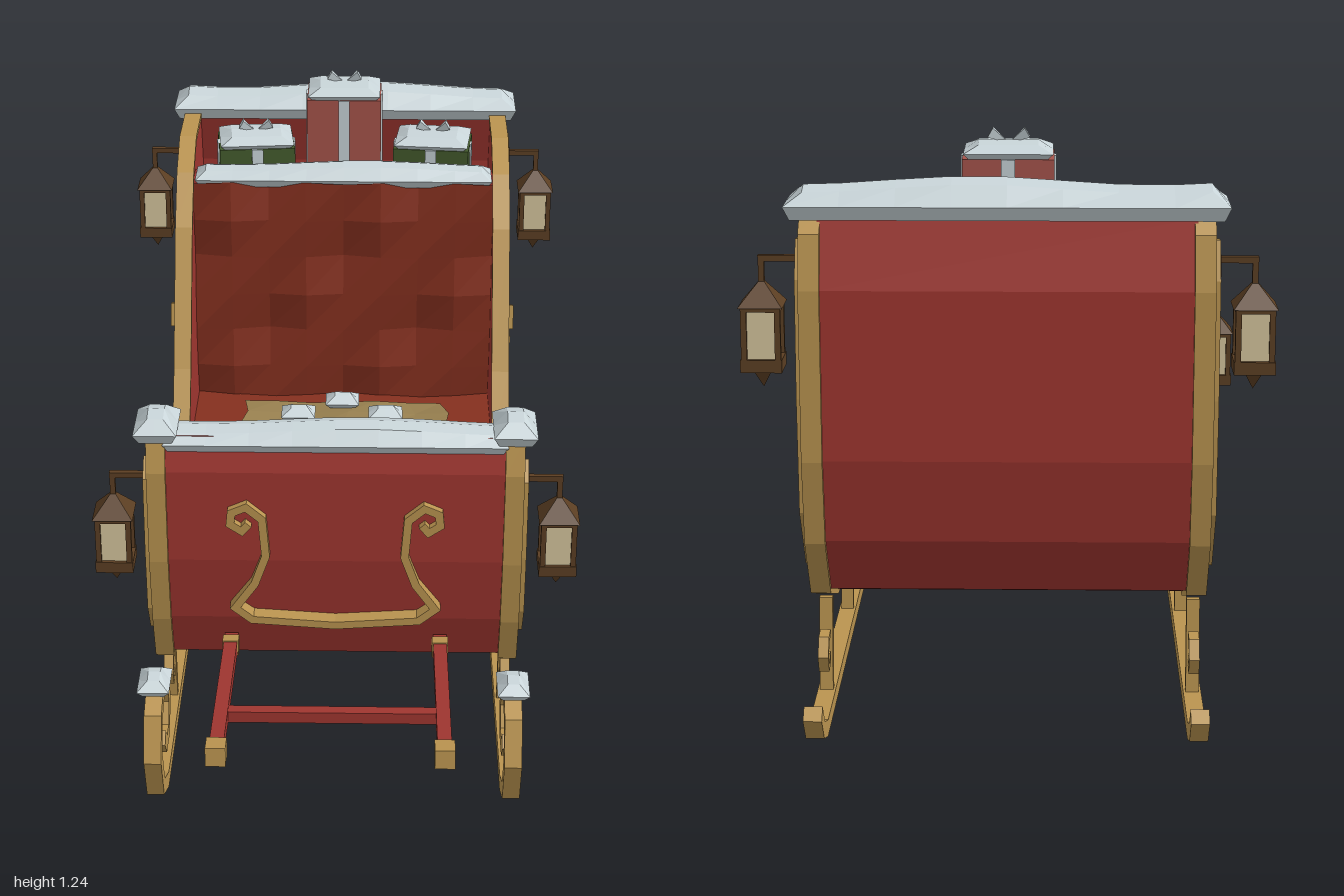
import * as THREE from 'three';

const paint = (name, color) => Object.assign(new THREE.MeshStandardMaterial({ color }), { name });

// Side outline as [z, y], anticlockwise from the front top
const outline = [[0.46, 0.8], [0.36, 0.8], [0.33, 0.74], [0.3, 0.62], [0.24, 0.49], [0.16, 0.445], [-0.07, 0.445],
  [-0.155, 0.5], [-0.24, 0.63], [-0.4, 0.94], [-0.49, 1.05], [-0.6, 1.105], [-0.84, 1.105], [-0.89, 1.06], [-0.912, 0.95],
  [-0.912, 0.6], [-0.88, 0.42], [-0.78, 0.28], [-0.61, 0.22], [0.42, 0.22], [0.46, 0.34], [0.482, 0.5], [0.482, 0.72]];

// Moves a path sideways (to its left for d > 0) with mitred corners
function offset(pts, d, closed = false) {
  const n = pts.length;
  const normal = (a, b) => {
    const dx = b[0] - a[0], dy = b[1] - a[1], l = Math.hypot(dx, dy);
    return [-dy / l, dx / l];
  };
  return pts.map((p, i) => {
    const before = closed || i > 0 ? normal(pts[(i + n - 1) % n], p) : null;
    const after = closed || i < n - 1 ? normal(p, pts[(i + 1) % n]) : null;
    const a = before || after, b = after || before;
    const k = d / Math.max(0.4, 1 + a[0] * b[0] + a[1] * b[1]);
    return [p[0] + (a[0] + b[0]) * k, p[1] + (a[1] + b[1]) * k];
  });
}

const toShape = pts => new THREE.Shape(pts.map(p => new THREE.Vector2(...p)));
const ribbon = (path, w) => toShape([...offset(path, w / 2), ...offset(path, -w / 2).reverse()]);
const extrude = (shape, depth) => new THREE.ExtrudeGeometry(shape, { depth, bevelEnabled: false });
// Extrudes a [z, y] shape across x, centred on x
const across = (shape, x, w) => extrude(shape, w).translate(0, 0, -w / 2).rotateY(-Math.PI / 2).translate(x, 0, 0);

function flat(geo) {
  const g = geo.index ? geo.toNonIndexed() : geo;
  g.computeVertexNormals();
  return g;
}

function moveVertices(geo, rule) {
  const p = geo.attributes.position, v = new THREE.Vector3();
  for (let i = 0; i < p.count; i++) {
    rule(v.fromBufferAttribute(p, i));
    p.setXYZ(i, v.x, v.y, v.z);
  }
  return flat(geo);
}

// Snow drift standing on y = 0: bulging rim, narrower uneven top
function snowGeo(w, h, d, nx = 2, inset = 0.03) {
  return moveVertices(new THREE.BoxGeometry(w, h, d, nx, 2, 2), v => {
    const level = Math.round(v.y / h * 2);
    const cut = level > 0 ? inset : level < 0 ? 0.012 : 0;
    const ridge = level > 0 && Math.abs(v.z) < 0.001;
    if (Math.abs(v.x) > w / 2 - 0.001) v.x -= Math.sign(v.x) * cut;
    v.z *= 1 - 2 * cut / d;
    v.y = level < 0 ? 0 : level === 0 ? h * 0.4 : h * (ridge ? 1 : 0.85);
    if (nx > 2 && level > 0) v.y += h * 0.12 * Math.sin(v.x * 9 + 1);
  });
}

const pyramid = (w, h) => flat(new THREE.ConeGeometry(w / Math.SQRT2, h, 4).rotateY(Math.PI / 4));
const box = (w, h, d) => new THREE.BoxGeometry(w, h, d);

export function createModel() {
  const red = paint('body red', 0xa03630), gold = paint('gold trim', 0xba9450), snow = paint('snow', 0xc8d4d8);
  const wood = paint('lantern brown', 0x5c3f23), glass = paint('lantern cream', 0xd6c69e);
  const green = paint('gift green', 0x435a2c), giftRed = paint('gift red', 0xa6544b);
  const cushion = paint('cushion red', 0x85301f), cloth = paint('blanket tan', 0x98804f);
  cloth.side = THREE.DoubleSide;

  const model = new THREE.Group();
  const add = (name, geo, mat, x = 0, y = 0, z = 0, parent = model) => {
    const m = new THREE.Mesh(geo, mat);
    m.name = name;
    m.position.set(x, y, z);
    parent.add(m);
    return m;
  };

  // Front, floor and back as one bent sheet
  const hull = offset([...outline.slice(13), outline[0]], 0.01);
  hull[0] = [-0.865, 1.09];
  add('bodyShell', across(toShape([...hull, ...offset(hull, 0.03).reverse()]), 0, 0.75), red);

  const sideLine = [[0.37, 0.655], [0.36, 0.69], [0.4, 0.712], [0.433, 0.68], [0.44, 0.5], [0.433, 0.36], [0.39, 0.29],
    [0.2, 0.275], [-0.18, 0.262], [-0.58, 0.29], [-0.75, 0.345], [-0.845, 0.48], [-0.86, 0.72], [-0.85, 0.96],
    [-0.82, 1.03], [-0.78, 1.025], [-0.765, 0.985]];
  const sideScroll = [[-0.374, 0.695], [-0.34, 0.71], [-0.35, 0.75], [-0.39, 0.735], [-0.42, 0.69], [-0.47, 0.68],
    [-0.49, 0.65], [-0.465, 0.615], [-0.43, 0.63]];
  const sideCurl = [[0.325, 0.405], [0.295, 0.39], [0.268, 0.42], [0.275, 0.465], [0.3, 0.475], [0.312, 0.45]];
  const runner = [[-0.985, 0.095], [-0.94, 0.042], [-0.87, 0.018], [0.62, 0.018], [0.715, 0.065], [0.75, 0.16],
    [0.715, 0.245], [0.635, 0.28], [0.56, 0.25], [0.535, 0.18], [0.57, 0.12], [0.63, 0.12], [0.66, 0.155]];

  for (const s of [-1, 1]) {
    // Side wall with its gold edge and applied scrolls
    add('sidePanel', across(toShape(offset(outline, 0.01, true)), s * 0.388, 0.026), red);
    const rim = toShape(outline);
    rim.holes.push(toShape(offset(outline, 0.014, true)));
    add('sideRim', across(rim, s * 0.39, 0.042), gold);
    for (const [name, path] of [['sideLine', sideLine], ['sideScroll', sideScroll], ['sideCurl', sideCurl]])
      add(name, across(ribbon(path, 0.017), s * 0.41, 0.026), gold);

    // Runner, struts and their little curls
    add('runner', across(ribbon(runner, 0.034), s * 0.39, 0.038), gold);
    for (const [z, dir] of [[0.29, 1], [-0.18, 1], [-0.69, dirBack]]) {
      add('strut', across(ribbon([[z, 0.025], [z + 0.02, 0.235]], 0.022), s * 0.39, 0.028), gold);
      const curl = [[0.01, 0.165], [0.045, 0.162], [0.066, 0.13], [0.05, 0.1], [0.025, 0.105], [0.025, 0.125]];
      const path = curl.map(([a, b]) => [z + dir * a, b]);
      add('strutCurl', across(ribbon(path, 0.013), s * 0.39, 0.022), gold);
    }
    add('runnerSnow', snowGeo(0.07, 0.04, 0.1, 2, 0.022), snow, s * 0.39, 0.288, 0.66);
    add('postSnow', snowGeo(0.095, 0.058, 0.135), snow, s * 0.39, 0.785, 0.41);

    // Pulling shaft
    add('shaft', across(ribbon([[0.44, 0.278], [0.97, 0.335]], 0.03), s * 0.235, 0.03), red);
    add('shaftTip', across(ribbon([[0.95, 0.333], [0.998, 0.338]], 0.042), s * 0.235, 0.042), gold);
    add('shaftSocket', across(ribbon([[0.455, 0.279], [0.49, 0.283]], 0.036), s * 0.235, 0.036), gold);

    // Lanterns on brackets
    for (const [y, z] of [[0, 0.39], [0.325, -0.8]]) {
      const lantern = new THREE.Group();
      lantern.name = 'lantern';
      lantern.position.set(s * 0.495, y, z);
      model.add(lantern);
      const part = (name, geo, mat, px, py, pz = 0) => add(name, geo, mat, px, py, pz, lantern);
      part('bracketArm', box(0.095, 0.013, 0.013), wood, -s * 0.041, 0.67);
      part('bracketHook', box(0.012, 0.06, 0.012), wood, 0, 0.645);
      part('bracketPlate', box(0.012, 0.05, 0.025), wood, -s * 0.075, 0.655);
      part('lanternRoof', pyramid(0.09, 0.055), wood, 0, 0.6025);
      part('lanternCollar', box(0.08, 0.014, 0.08), wood, 0, 0.573);
      part('lanternGlass', box(0.066, 0.11, 0.066), glass, 0, 0.52);
      part('lanternBase', box(0.084, 0.026, 0.084), wood, 0, 0.455);
      part('lanternTip', pyramid(0.04, 0.04).rotateX(Math.PI), wood, 0, 0.424);
      for (const px of [-0.034, 0.034]) for (const pz of [-0.034, 0.034])
        part('lanternPost', box(0.012, 0.115, 0.012), wood, px, 0.52, pz);
    }
  }
  add('shaftCrossbar', box(0.47, 0.026, 0.026), red, 0, 0.317, 0.805);

  // Scroll on the front panel
  const half = [[0.19, 0.6], [0.205, 0.583], [0.23, 0.6], [0.227, 0.628], [0.195, 0.642], [0.16, 0.612], [0.153, 0.52],
    [0.178, 0.45], [0.222, 0.388], [0.185, 0.358]];
  const scroll = [...half.map(([x, y]) => [-x, y]), [0, 0.345], ...half.slice().reverse()];
  add('frontScroll', extrude(ribbon(scroll, 0.018), 0.04), gold, 0, 0, 0.45);

  // Seat with quilted back, and the gift shelf behind it
  add('seat', box(0.75, 0.18, 0.3), cushion, 0, 0.335, -0.395);
  add('seatBack', box(0.75, 0.76, 0.07), red, 0, 0.63, -0.585);
  const quilt = new THREE.PlaneGeometry(0.75, 0.6, 8, 6);
  add('quiltedBack', moveVertices(quilt, v => {
    const i = Math.round(v.x / 0.75 * 8 + 4), j = Math.round(v.y / 0.1 + 3);
    v.z = i % 2 && j % 2 ? 0.03 : (i + j) % 2 ? 0.018 : (i / 2 + j / 2) % 2 ? 0.028 : 0;
  }), cushion, 0, 0.71, -0.545);
  add('giftShelf', box(0.75, 0.03, 0.28), red, 0, 0.9, -0.74);

  // Snow on the walls and seat back
  add('frontSnow', snowGeo(0.75, 0.055, 0.11, 8, 0.025), snow, 0, 0.76, 0.415);
  add('seatBackSnow', snowGeo(0.74, 0.05, 0.1, 8, 0.025), snow, 0, 0.995, -0.575);
  add('backSnow', snowGeo(0.875, 0.07, 0.15, 8, 0.035), snow, 0, 1.09, -0.84);

  // Draped blanket with three small drifts
  const drape = [[-0.46, 0.437], [-0.38, 0.446], [-0.29, 0.444], [-0.22, 0.437], [-0.2, 0.39], [-0.19, 0.31],
    [-0.15, 0.28], [-0.05, 0.268]];
  add('blanket', moveVertices(new THREE.PlaneGeometry(0.5, 1, 6, 7), v => {
    const row = Math.round((0.5 - v.y) * 7), [z, y] = drape[row], wave = Math.sin(v.x * 22 + row);
    v.set(v.x * (1 + row * 0.02) + 0.02 * Math.sin(row * 1.4) - row * 0.004, y + wave * 0.006, z + wave * 0.006);
  }), cloth);
  for (const [x, z] of [[0, -0.43], [-0.11, -0.355], [0.11, -0.355]])
    add('blanketSnow', snowGeo(0.085, 0.035, 0.07, 2, 0.024), snow, x, 0.445, z);

  // Gifts with ribbons, snowy lids and bows
  for (const [x, w, top, turn, mat] of [[-0.225, 0.19, 1.06, 0.1, green], [0, 0.185, 1.19, 0, giftRed], [0.225, 0.19, 1.06, -0.1, green]]) {
    const gift = new THREE.Group(), h = top - 0.915, d = 0.14;
    gift.name = 'gift';
    gift.position.set(x, 0.915, -0.7);
    gift.rotation.y = turn;
    model.add(gift);
    add('giftBox', box(w, h, d), mat, 0, h / 2, 0, gift);
    add('giftRibbon', box(0.028, h, d + 0.008), snow, 0, h / 2, 0, gift);
    add('giftRibbon', box(w + 0.008, h, 0.028), snow, 0, h / 2, 0, gift);
    add('giftSnow', snowGeo(w - 0.005, 0.033, d + 0.015, 2, 0.03), snow, 0, h - 0.002, 0, gift);
    for (const s of [-1, 1]) {
      const loop = add('giftBow', pyramid(0.022, 0.045).rotateX(Math.PI), snow, s * 0.018, h + 0.034, 0, gift);
      loop.rotation.z = -s * 1.05;
    }
  }
  return model;
}

// The rear strut's curl points backwards
const dirBack = -1;
